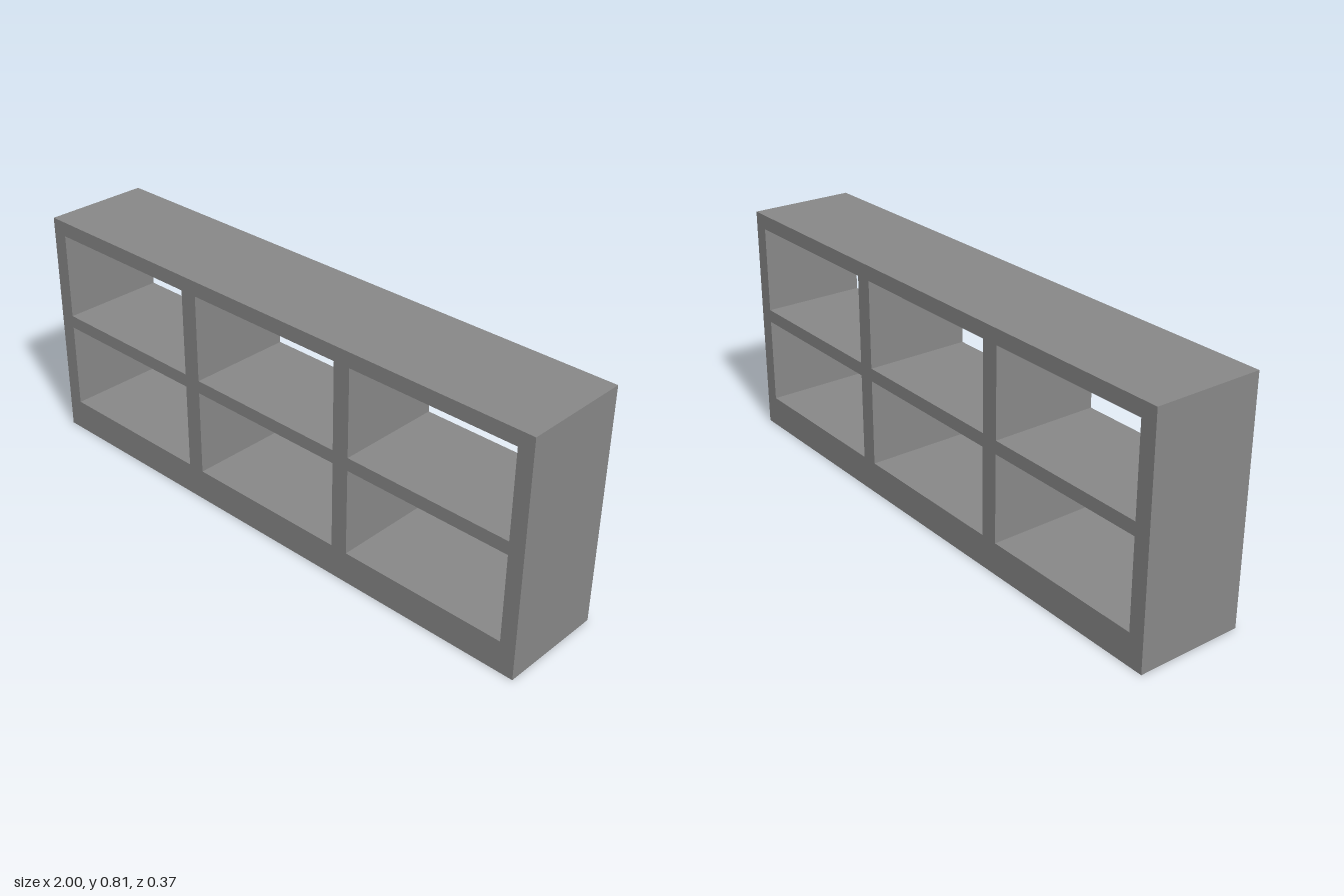
import * as THREE from 'three';

const WIDTH = 2, HEIGHT = 0.81, DEPTH = 0.37;
const OPENING_W = 0.59, OPENING_H = 0.302;
const COLUMNS = [-0.65, 0.002, 0.652]; // opening centres
const ROWS = [0.11, 0.457];            // opening bottoms

// Traces a rectangle from its lower left corner
function rectangle(path, x, y, w, h) {
  path.moveTo(x, y);
  path.lineTo(x + w, y);
  path.lineTo(x + w, y + h);
  path.lineTo(x, y + h);
  path.closePath();
  return path;
}

export function createModel() {
  const group = new THREE.Group();
  group.name = 'openShelfUnit';

  // One solid carcass with six compartments cut right through
  const outline = rectangle(new THREE.Shape(), -WIDTH / 2, 0, WIDTH, HEIGHT);
  for (const x of COLUMNS) {
    for (const y of ROWS) {
      outline.holes.push(rectangle(new THREE.Path(), x - OPENING_W / 2, y, OPENING_W, OPENING_H));
    }
  }
  const geometry = new THREE.ExtrudeGeometry(outline, { depth: DEPTH, bevelEnabled: false });
  geometry.translate(0, 0, -DEPTH / 2);

  const material = new THREE.MeshStandardMaterial({ color: 0x888888 });
  const carcass = new THREE.Mesh(geometry, material);
  carcass.name = 'shelfCarcass';
  group.add(carcass);

  return group;
}
